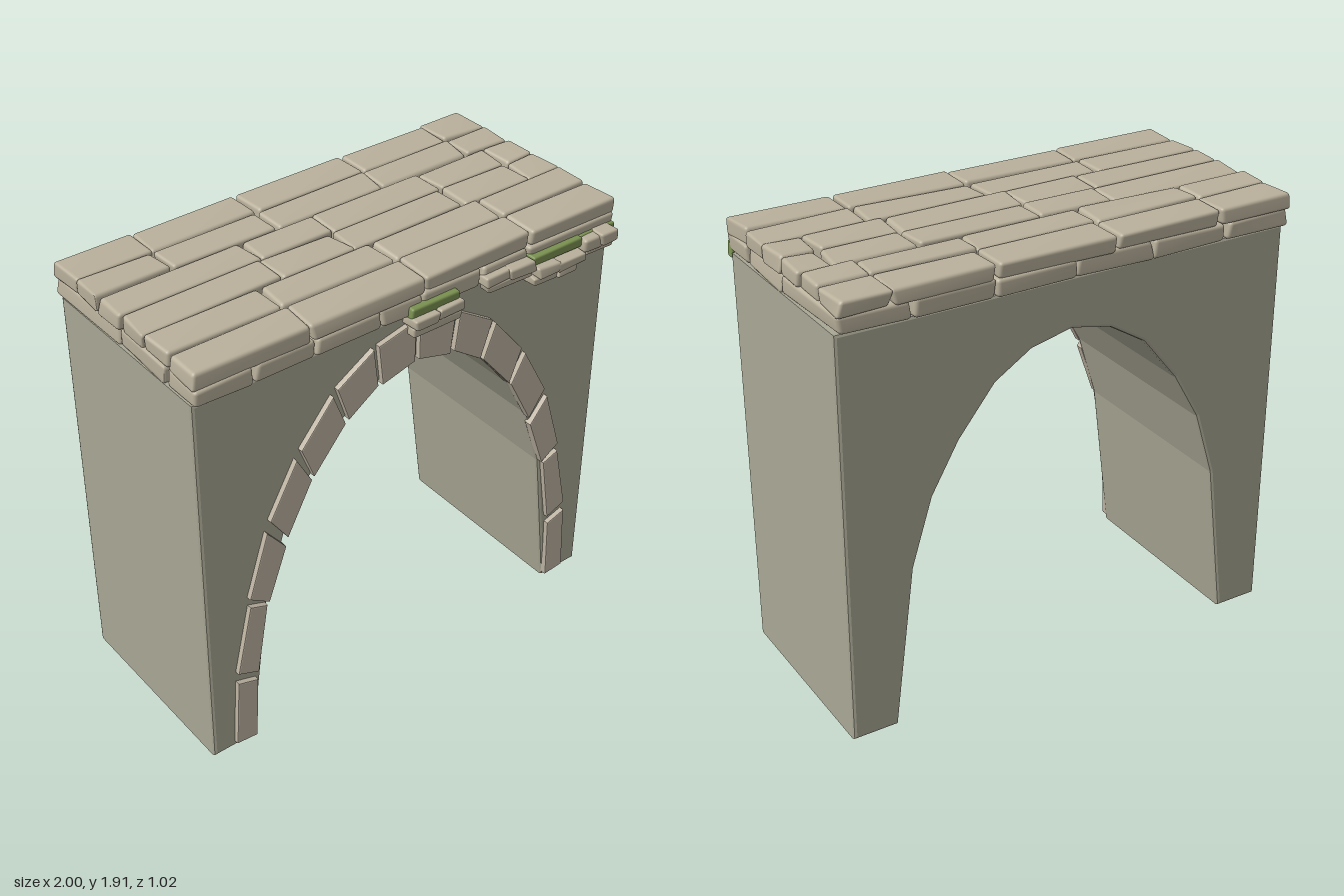
import * as THREE from 'three';
import { mergeVertices } from 'three/addons/utils/BufferGeometryUtils.js';
import { RoundedBoxGeometry } from 'three/addons/geometries/RoundedBoxGeometry.js';

const mat = (color) => new THREE.MeshStandardMaterial({ color, roughness: 0.9 });

// Small seeded generator, returns -1..1
let seed = 7;
const rnd = () => {
  seed = (seed * 16807) % 2147483647;
  return (seed / 2147483647) * 2 - 1;
};

// Worn stone block filling a box, its eight corners pushed about a little
function stone(name, material, [x0, x1], [y0, y1], [z0, z1], wear = 0.012) {
  const w = x1 - x0, h = y1 - y0, d = z1 - z0;
  let g = new RoundedBoxGeometry(w, h, d, 2, Math.min(w, h, d) * 0.22);
  g.deleteAttribute('uv');
  g.deleteAttribute('normal');
  g = mergeVertices(g, 1e-5);
  const corners = Array.from({ length: 8 }, () => [rnd() * wear, rnd() * wear * 0.4, rnd() * wear * 0.7]);
  const p = g.attributes.position;
  for (let i = 0; i < p.count; i++) {
    const t = [p.getX(i) / w + 0.5, p.getY(i) / h + 0.5, p.getZ(i) / d + 0.5];
    const o = [0, 0, 0];
    corners.forEach((c, k) => {
      const f = (k & 1 ? t[0] : 1 - t[0]) * (k & 2 ? t[1] : 1 - t[1]) * (k & 4 ? t[2] : 1 - t[2]);
      c.forEach((v, a) => (o[a] += v * f));
    });
    p.setXYZ(i,
      THREE.MathUtils.clamp(x0 + t[0] * w + o[0], -1, 1),
      Math.min(y0 + t[1] * h + o[1], 1.912),
      z0 + t[2] * d + o[2]);
  }
  g.computeVertexNormals();
  const m = new THREE.Mesh(g, material);
  m.name = name;
  return m;
}

// Bevelled extrusion of an outline between two z values
function slab(name, points, z0, z1, bevel, material) {
  const g = new THREE.ExtrudeGeometry(new THREE.Shape(points.map(([x, y]) => new THREE.Vector2(x, y))), {
    depth: z1 - z0 - 2 * bevel, bevelEnabled: true, bevelSize: bevel,
    bevelThickness: bevel, bevelOffset: -bevel, bevelSegments: 2,
  });
  g.translate(0, 0, z0 + bevel);
  const m = new THREE.Mesh(g, material);
  m.name = name;
  return m;
}

export function createModel() {
  const model = new THREE.Group();
  model.name = 'stoneArch';
  const wallMat = mat(0xa9a794), stoneMat = mat(0xb9b09b), archMat = mat(0xbdb3a2), mossMat = mat(0x7a9150);

  // Solid wall with a faceted arched opening
  const half = [[0.8, 0], [0.71, 0.71], [0.62, 1.0], [0.5, 1.21], [0.34, 1.41], [0.18, 1.51]];
  const opening = [...half, [0, 1.55], ...half.map(([x, y]) => [-x, y]).reverse()];
  model.add(slab('wall', [[1, 0], [1, 1.77], [-1, 1.77], [-1, 0], ...opening.reverse()], -0.468, 0.415, 0.014, wallMat));

  // Ring of arch stones on the front, mirrored about the middle
  const ring = new THREE.Group();
  ring.name = 'archStones';
  const blocks = [
    [[0.8, 0.02], [0.9, 0.03], [0.88, 0.36], [0.786, 0.33]],
    [[0.78, 0.37], [0.877, 0.41], [0.807, 0.73], [0.727, 0.7]],
    [[0.716, 0.71], [0.807, 0.77], [0.717, 1.06], [0.63, 0.95]],
    [[0.62, 0.99], [0.7, 1.107], [0.572, 1.34], [0.503, 1.214]],
    [[0.492, 1.225], [0.55, 1.374], [0.4, 1.556], [0.342, 1.406]],
    [[0.326, 1.417], [0.38, 1.578], [0.21, 1.685], [0.187, 1.513]],
    [[0.166, 1.508], [0.187, 1.69], [0.01, 1.733], [0.01, 1.55]],
  ];
  blocks.forEach((b) => {
    ring.add(slab('archStoneLeft', b, 0.4, 0.438, 0.005, archMat));
    ring.add(slab('archStoneRight', b.map(([x, y]) => [-x, y]).reverse(), 0.4, 0.438, 0.005, archMat));
  });
  model.add(ring);

  // One row of paving stones split at the given x positions
  const course = (group, name, xs, y, z, gap) => {
    for (let i = 0; i < xs.length - 1; i++) {
      group.add(stone(name, stoneMat, [xs[i] + (i ? gap : 0), xs[i + 1] - gap], y, [z[0] + gap / 2, z[1] - gap / 2]));
    }
  };

  // Upper paving
  const paving = new THREE.Group();
  paving.name = 'paving';
  const rows = [
    [-0.505, -0.34, [-1, -0.66, -0.18, 0.35, 0.78, 1]],
    [-0.34, -0.19, [-1, -0.67, -0.19, 0.34, 0.78, 1]],
    [-0.19, -0.04, [-1, -0.37, -0.04, 0.5, 0.85, 1]],
    [-0.04, 0.115, [-1, -0.39, -0.05, 0.5, 0.84, 1]],
    [0.115, 0.27, [-1, -0.5, 0.02, 0.55, 1]],
    [0.27, 0.44, [-1, -0.49, 0.03, 0.555, 1]],
  ];
  rows.forEach(([z0, z1, xs]) => course(paving, 'pavingStone', xs, [1.838, 1.908], [z0, z1], 0.004));
  model.add(paving);

  // Lower course between the wall and the paving
  const lower = new THREE.Group();
  lower.name = 'lowerCourse';
  course(lower, 'lowerStone', [-1, -0.74, -0.48, -0.18, 0.02, 0.31, 0.55, 1], [1.768, 1.845], [0.26, 0.442], 0.003);
  course(lower, 'lowerStone', [-1, -0.4, 0.1, 0.6, 1], [1.768, 1.845], [-0.05, 0.26], 0.003);
  course(lower, 'lowerStone', [-1, -0.7, -0.35, 0, 0.35, 0.7, 1], [1.768, 1.845], [-0.5, -0.05], 0.003);
  model.add(lower);

  // Loose stones clinging to the front edge
  const loose = new THREE.Group();
  loose.name = 'looseStones';
  [
    [-0.055, 0.06, 1.73, 1.775, 0.495], [0.055, 0.18, 1.735, 1.78, 0.49], [-0.05, 0.175, 1.69, 1.735, 0.48],
    [0.31, 0.43, 1.765, 1.81, 0.475], [0.42, 0.545, 1.76, 1.81, 0.485], [0.32, 0.54, 1.73, 1.768, 0.47],
    [0.55, 0.66, 1.725, 1.77, 0.5], [0.65, 0.8, 1.72, 1.76, 0.505], [0.55, 0.68, 1.68, 1.722, 0.485],
    [0.67, 0.76, 1.685, 1.725, 0.49],
    [0.81, 0.9, 1.74, 1.805, 0.49], [0.88, 0.97, 1.755, 1.81, 0.505], [0.83, 0.97, 1.72, 1.76, 0.48],
  ].forEach(([x0, x1, y0, y1, z]) => loose.add(stone('looseStone', stoneMat, [x0, x1], [y0, y1], [0.405, z], 0.01)));
  model.add(loose);

  // Moss patches behind and above the loose stones
  const moss = new THREE.Group();
  moss.name = 'moss';
  [[-0.055, 0.175, 1.765, 1.812, 0.47], [0.55, 0.81, 1.768, 1.81, 0.468], [0.81, 0.997, 1.74, 1.808, 0.455]]
    .forEach(([x0, x1, y0, y1, z]) => moss.add(stone('mossPatch', mossMat, [x0, x1], [y0, y1], [0.41, z], 0.004)));
  moss.add(slab('mossWedge', [[0.83, 1.69], [0.99, 1.75], [0.81, 1.75]], 0.41, 0.45, 0.003, mossMat));
  model.add(moss);

  return model;
}
